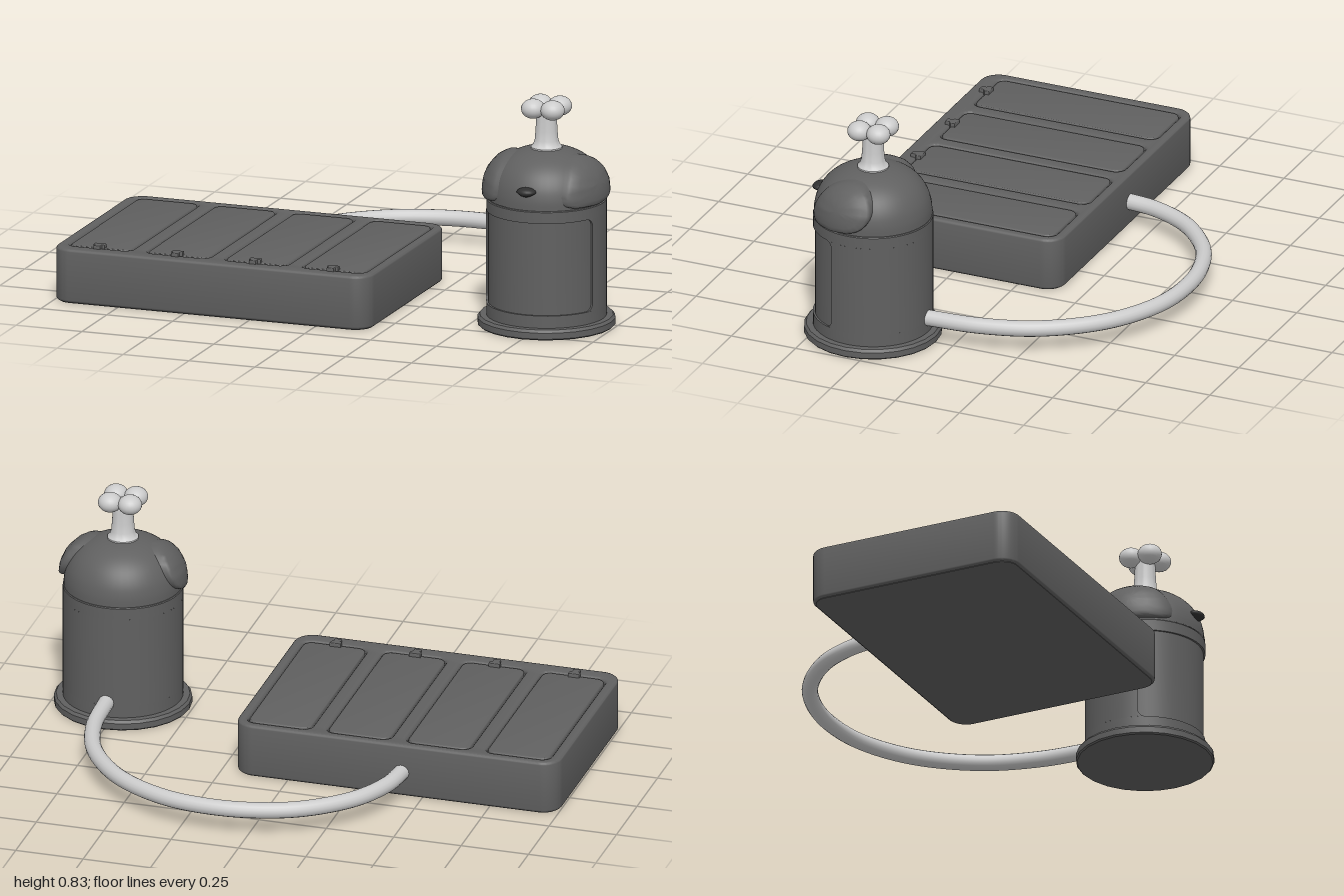
import * as THREE from 'three';
import { toCreasedNormals } from 'three/addons/utils/BufferGeometryUtils.js';

const dark = new THREE.MeshStandardMaterial({ color: 0x606060, side: THREE.DoubleSide });
const light = new THREE.MeshStandardMaterial({ color: 0xcccccc });
const black = new THREE.MeshStandardMaterial({ color: 0x303030 });

function mesh(name, geometry, material, parent) {
  const m = new THREE.Mesh(geometry, material);
  m.name = name;
  parent.add(m);
  return m;
}

// Rounded rectangle in plan (shape y is -z)
function roundedRect(path, x0, x1, z0, z1, r) {
  const q = Math.PI / 2;
  path.absarc(x1 - r, -z0 - r, r, 0, q);
  path.absarc(x0 + r, -z0 - r, r, q, 2 * q);
  path.absarc(x0 + r, -z1 + r, r, 2 * q, 3 * q);
  path.absarc(x1 - r, -z1 + r, r, 3 * q, 4 * q);
  path.closePath();
  return path;
}

// Extrude a plan shape upwards between two heights
function slab(shape, y0, y1, b) {
  const g = new THREE.ExtrudeGeometry(shape, {
    depth: y1 - y0 - 2 * b, bevelEnabled: b > 0, bevelThickness: b, bevelSize: b,
    bevelOffset: -b, bevelSegments: 3, curveSegments: 8,
  });
  g.rotateX(-Math.PI / 2).translate(0, y0 + b, 0);
  return toCreasedNormals(g, 0.6);
}

function lathe(points, segments, start = 0, sweep = Math.PI * 2) {
  const g = new THREE.LatheGeometry(points.map(([r, y]) => new THREE.Vector2(r, y)), segments, start, sweep);
  return toCreasedNormals(g, 0.6);
}

// Tray with four lidded compartments
function makeTray() {
  const tray = new THREE.Group();
  tray.name = 'tray';
  const frame = roundedRect(new THREE.Shape(), -1, 0.2, -0.16, 0.65, 0.07);
  for (let i = 0; i < 4; i++) {
    const x = -0.841 + i * 0.295;
    frame.holes.push(roundedRect(new THREE.Path(), x - 0.12, x + 0.12, -0.125, 0.59, 0.035));
    const lid = roundedRect(new THREE.Shape(), x - 0.115, x + 0.115, -0.12, 0.585, 0.032);
    mesh('lid', slab(lid, 0.1, 0.197, 0.006), dark, tray);
    // T-shaped catch at the front edge of the lid
    const s = new THREE.Shape([[-0.021, -0.568], [-0.021, -0.585], [-0.013, -0.592], [-0.013, -0.61],
      [0.013, -0.61], [0.013, -0.592], [0.021, -0.585], [0.021, -0.568]].map(p => new THREE.Vector2(...p)));
    mesh('catch', slab(s, 0.17, 0.211, 0.003), dark, tray).position.x = x;
  }
  mesh('trayFrame', slab(frame, 0.002, 0.198, 0.01), dark, tray);
  const floor = roundedRect(new THREE.Shape(), -0.99, 0.19, -0.15, 0.64, 0.06);
  mesh('trayFloor', slab(floor, 0, 0.18, 0), dark, tray);
  return tray;
}

// Dome profile, from rim to crown
const DOME = [[0.211, 0.466], [0.209, 0.5], [0.199, 0.54], [0.178, 0.578], [0.148, 0.608],
  [0.11, 0.63], [0.065, 0.644], [0.001, 0.648]];

function domeRadius(y) {
  for (let i = 1; i < DOME.length; i++) {
    const [r0, y0] = DOME[i - 1], [r1, y1] = DOME[i];
    if (y <= y1) return THREE.MathUtils.lerp(r0, r1, Math.max(0, (y - y0) / (y1 - y0)));
  }
  return 0;
}

// Floppy ear lying on the dome: rings growing from its middle to its outline (z, y)
function earGeometry(side) {
  const outline = new THREE.CatmullRomCurve3([[0.162, 0.478], [0.168, 0.51], [0.145, 0.563], [0.105, 0.605],
    [0.04, 0.63], [-0.02, 0.628], [-0.06, 0.6], [-0.077, 0.55], [-0.062, 0.51], [-0.03, 0.485],
    [0.03, 0.473], [0.1, 0.47]].map(([z, y]) => new THREE.Vector3(0, y, z)), true);
  const rings = [0, 0.25, 0.5, 0.75, 0.92, 0.98, 1, 1], lifts = [1, 1, 1, 1, 0.95, 0.8, 0.55, -1.2];
  const n = 48, pos = [], idx = [];
  rings.forEach((t, k) => {
    for (let j = 0; j < n; j++) {
      const p = outline.getPoint(j / n);
      const z = THREE.MathUtils.lerp(0.045, p.z, t), y = THREE.MathUtils.lerp(0.55, p.y, t);
      const lift = (0.02 + 0.015 * (y - 0.47) / 0.16) * lifts[k];
      pos.push(side * (Math.sqrt(Math.max(0.0001, domeRadius(y) ** 2 - z * z)) + lift), y, z);
      if (k === 0) continue;
      const a = (k - 1) * n + j, b = (k - 1) * n + (j + 1) % n, c = a + n, d = b + n;
      if (side > 0) idx.push(a, d, c, a, b, d);
      else idx.push(a, c, d, a, d, b);
    }
  });
  const g = new THREE.BufferGeometry();
  g.setAttribute('position', new THREE.Float32BufferAttribute(pos, 3));
  g.setIndex(idx);
  return toCreasedNormals(g, 0.8);
}

// Cylindrical dispenser with a domed animal head and a bone-shaped handle
function makeDispenser() {
  const d = new THREE.Group();
  d.name = 'dispenser';
  const IN = 0.207, OUT = 0.214, A = 1.23, Y0 = 0.082, Y1 = 0.42, TOP = 0.464;
  mesh('base', lathe([[0, 0], [0.241, 0], [0.246, 0.005], [0.246, 0.027], [0.238, 0.037], [0, 0.037]], 24), dark, d);
  mesh('core', lathe([[IN, 0.03], [IN, 0.468], [0, 0.468]], 64), dark, d);
  // Outer shell leaves a recessed door at the front
  mesh('topBand', lathe([[IN, Y1], [OUT, Y1], [OUT, TOP - 0.003], [OUT - 0.003, TOP], [IN, TOP]], 64), dark, d);
  mesh('bottomBand', lathe([[OUT, 0.03], [OUT, Y0], [IN, Y0]], 64), dark, d);
  mesh('backShell', lathe([[OUT, Y0], [OUT, Y1]], 48, A, 2 * Math.PI - 2 * A), dark, d);
  for (const s of [-1, 1]) {
    const jamb = mesh('doorJamb', new THREE.PlaneGeometry(OUT - IN, Y1 - Y0).translate((OUT + IN) / 2, 0, 0), dark, d);
    jamb.position.y = (Y0 + Y1) / 2;
    jamb.rotation.y = s * A - Math.PI / 2;
    // Rounded door corners, bent round the cylinder
    for (const [y, v] of [[Y0, 1], [Y1, -1]]) {
      const r = 0.028, pts = [new THREE.Vector2(s * A * OUT, y)];
      for (let i = 0; i <= 8; i++) {
        const a = i / 8 * Math.PI / 2;
        pts.push(new THREE.Vector2(s * (A * OUT - r + r * Math.sin(a)), y + v * r * (1 - Math.cos(a))));
      }
      const g = new THREE.ExtrudeGeometry(new THREE.Shape(pts), { depth: OUT - IN, bevelEnabled: false });
      const p = g.attributes.position;
      for (let i = 0; i < p.count; i++) {
        const a = p.getX(i) / OUT, R = IN + p.getZ(i);
        p.setXYZ(i, R * Math.sin(a), p.getY(i), R * Math.cos(a));
      }
      g.computeVertexNormals();
      mesh('doorCorner', g, dark, d);
    }
    mesh(s > 0 ? 'leftEar' : 'rightEar', earGeometry(s), dark, d);
  }
  const crown = new THREE.SplineCurve(DOME.map(p => new THREE.Vector2(...p))).getPoints(28);
  mesh('head', new THREE.LatheGeometry(crown, 48), dark, d);

  // Nose: wide on top, narrowing below
  const nose = new THREE.SphereGeometry(1, 20, 14);
  const p = nose.attributes.position;
  for (let i = 0; i < p.count; i++) {
    const y = p.getY(i);
    p.setXYZ(i, p.getX(i) * (y < 0 ? 1 + 0.35 * y : 1) * 0.036, y * 0.017, p.getZ(i) * 0.03);
  }
  nose.computeVertexNormals();
  mesh('nose', nose, black, d).position.set(0, 0.53, 0.202);

  // Bone handle
  mesh('handleStem', lathe([[0.056, 0.635], [0.056, 0.65], [0.048, 0.658], [0.042, 0.675], [0.039, 0.71],
    [0.037, 0.75], [0.036, 0.795], [0, 0.8]], 32), light, d);
  for (const x of [-1, 1]) for (const z of [-1, 1]) {
    const knob = mesh('handleKnob', new THREE.SphereGeometry(0.043, 24, 16), light, d);
    knob.scale.y = 0.82;
    knob.position.set(x * 0.037, 0.793, z * 0.037);
  }
  d.position.set(0.752, 0, 0.31);
  return d;
}

export function createModel() {
  const model = new THREE.Group();
  model.name = 'feeder';
  model.add(makeTray(), makeDispenser());
  // Hose arching behind from the tray to the dispenser
  const path = new THREE.CatmullRomCurve3([[-0.426, -0.14], [-0.405, -0.27], [-0.33, -0.42], [-0.18, -0.553],
    [-0.03, -0.613], [0.13, -0.632], [0.32, -0.603], [0.52, -0.49], [0.67, -0.3], [0.735, -0.1], [0.752, 0.12],
  ].map(([x, z]) => new THREE.Vector3(x, 0.091, z)));
  mesh('hose', new THREE.TubeGeometry(path, 80, 0.029, 16), light, model);
  return model;
}
